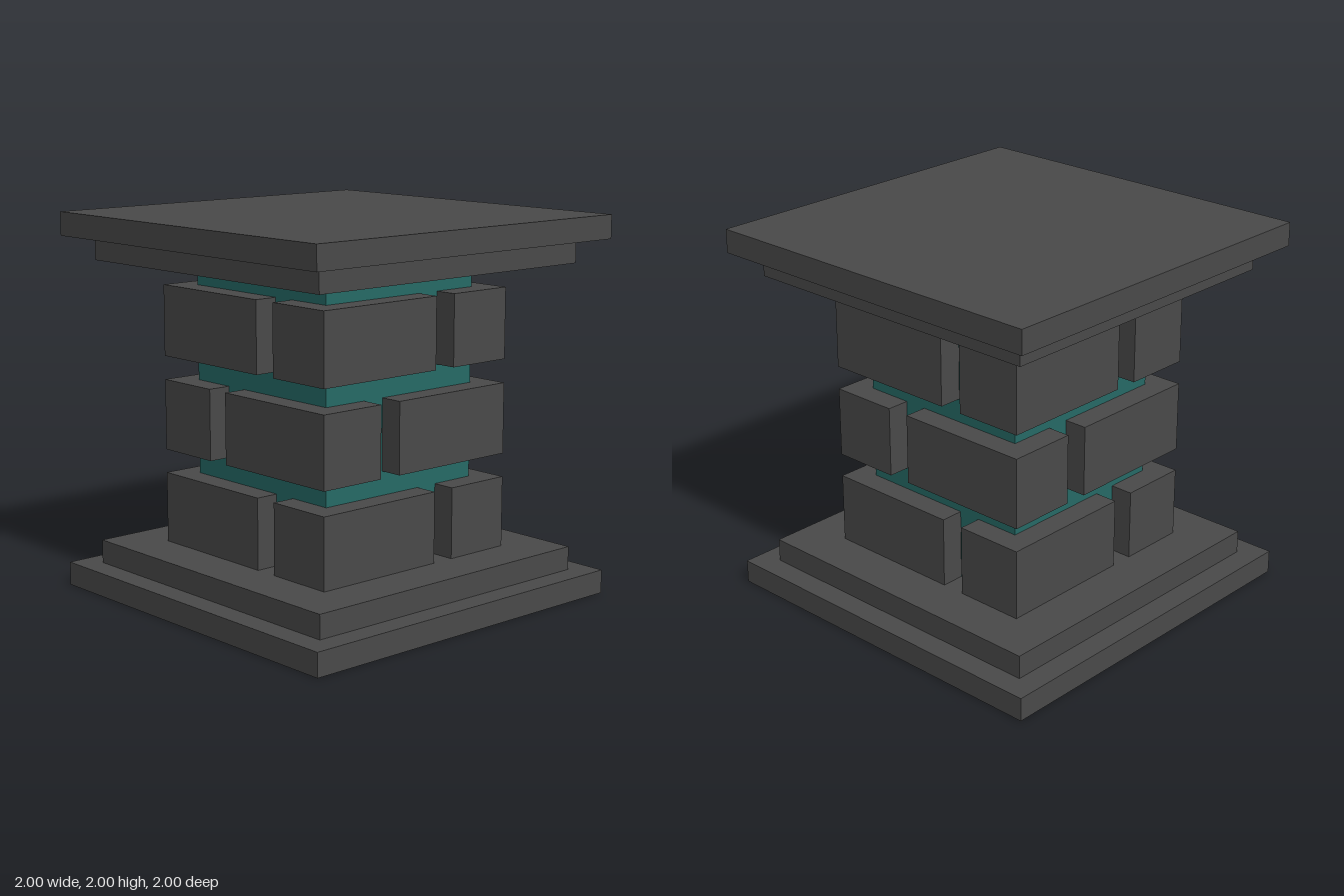
import * as THREE from 'three';

export function createModel() {
  const group = new THREE.Group();
  const stone = new THREE.MeshStandardMaterial({ color: 0x4a4a4a });
  stone.name = 'dark stone';
  const teal = new THREE.MeshStandardMaterial({ color: 0x266b67 });
  teal.name = 'teal core';

  // Box standing on height y
  function block(name, material, w, h, d, x, y, z, parent = group) {
    const mesh = new THREE.Mesh(new THREE.BoxGeometry(w, h, d), material);
    mesh.name = name;
    mesh.position.set(x, y + h / 2, z);
    parent.add(mesh);
  }

  // Stepped base and cap
  block('baseSlab', stone, 2, 0.125, 2, 0, 0, 0);
  block('baseStep', stone, 1.75, 0.125, 1.75, 0, 0.125, 0);
  block('capStep', stone, 1.75, 0.125, 1.75, 0, 1.75, 0);
  block('capSlab', stone, 2, 0.125, 2, 0, 1.875, 0);

  // Inner pillar
  block('core', teal, 1, 1.5, 1, 0, 0.25, 0);

  // Three courses of corner bricks, direction alternating
  for (let row = 0; row < 3; row++) {
    const y = 0.25 + row * 0.5;
    for (let corner = 0; corner < 4; corner++) {
      const pivot = new THREE.Group();
      pivot.name = `brickCourse${row + 1}Corner${corner + 1}`;
      pivot.rotation.y = corner * Math.PI / 2;
      if (row % 2 === 0) block('brick', stone, 0.375, 0.375, 0.75, 0.4375, y, 0.25, pivot);
      else block('brick', stone, 0.75, 0.375, 0.375, 0.25, y, 0.4375, pivot);
      group.add(pivot);
    }
  }
  return group;
}
